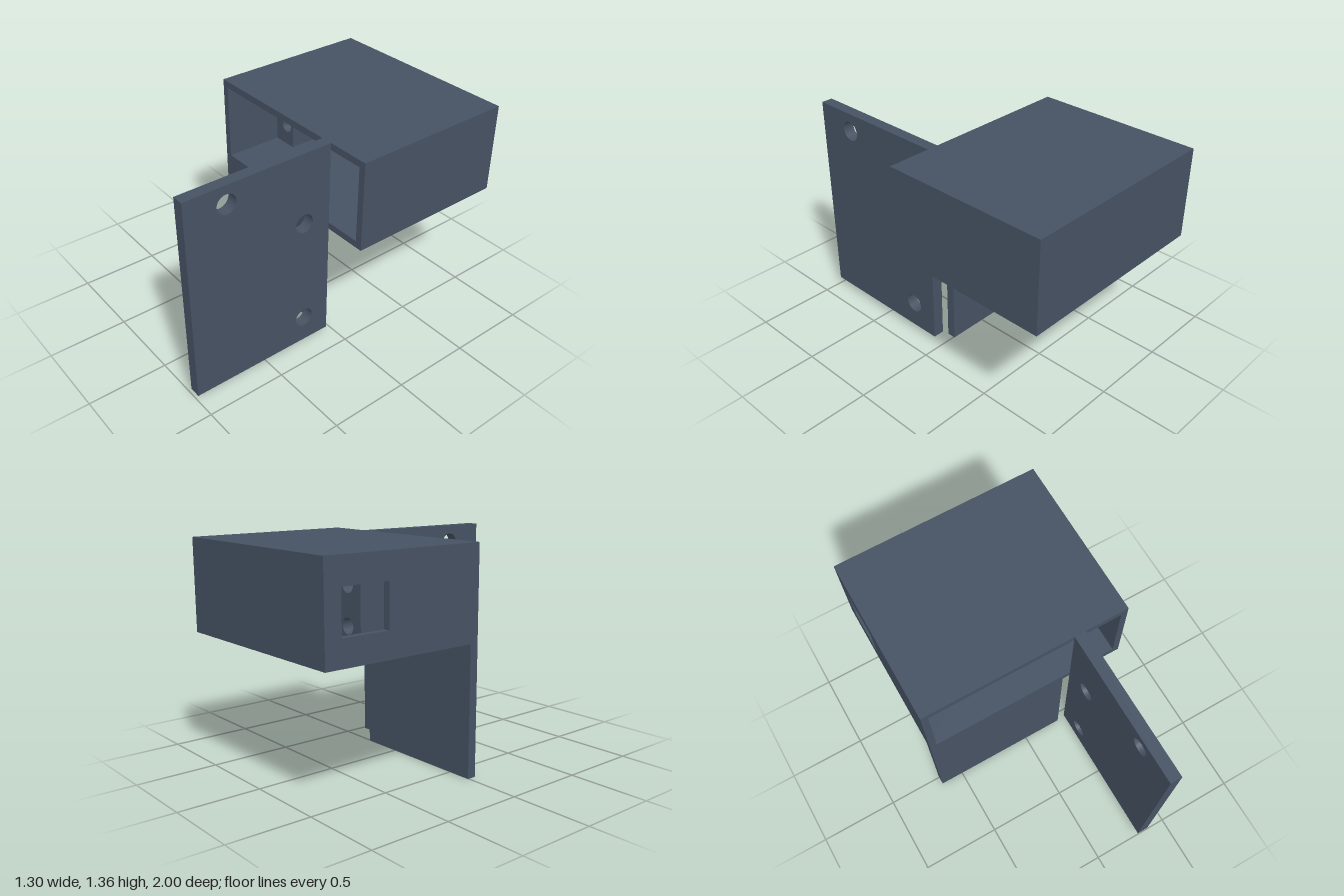
import * as THREE from 'three';

export function createModel() {
  const model = new THREE.Group();
  model.name = 'mountingBracket';
  const slate = new THREE.MeshStandardMaterial({ color: 0x465263 });
  slate.name = 'slate';

  const add = (name, geometry) => {
    const mesh = new THREE.Mesh(geometry, slate);
    mesh.name = name;
    model.add(mesh);
    return mesh;
  };

  // Box given by its limits on each axis
  const block = (name, [x0, x1], [y0, y1], [z0, z1]) => {
    const g = new THREE.BoxGeometry(x1 - x0, y1 - y0, z1 - z0);
    g.translate((x0 + x1) / 2, (y0 + y1) / 2, (z0 + z1) / 2);
    return add(name, g);
  };

  const rect = (Type, [u0, u1], [v0, v1]) => new Type([
    [u0, v0], [u1, v0], [u1, v1], [u0, v1],
  ].map(([u, v]) => new THREE.Vector2(u, v)));

  const circle = (u, v, r) => new THREE.Path().absarc(u, v, r, 0, Math.PI * 2, true);

  const extrude = (shape, depth) => new THREE.ExtrudeGeometry(shape, {
    depth, bevelEnabled: false, curveSegments: 24,
  });

  // Plate lying in the z-y plane, thick along x (shape u axis is -z)
  const sidePlate = (name, [x0, x1], [y0, y1], [z0, z1], holes) => {
    const shape = rect(THREE.Shape, [-z1, -z0], [y0, y1]);
    shape.holes.push(...holes);
    const g = extrude(shape, x1 - x0);
    g.rotateY(Math.PI / 2);
    g.translate(x0, 0, 0);
    return add(name, g);
  };

  // Housing shell, open at the front
  const inY = [0.837, 1.317];
  const depth = [-1, 0.05];
  block('housingTop', [-0.65, 0.65], [inY[1], 1.36], depth);
  block('housingFloor', [-0.65, 0.65], [0.795, inY[0]], depth);
  block('housingBack', [-0.607, 0.607], inY, [-1, -0.957]);
  block('housingLeftWall', [0.607, 0.65], inY, depth);
  sidePlate('housingRightWall', [-0.65, -0.607], inY, depth,
    [rect(THREE.Path, [0.595, 0.896], [0.95, 1.205])]);

  // Screw posts inside the housing
  for (const side of [-1, 1]) {
    const shape = rect(THREE.Shape, [-0.084, 0.084], inY);
    for (const y of [0.97, 1.185]) shape.holes.push(circle(-side * 0.021, y, 0.044));
    const g = extrude(shape, 0.416);
    g.translate(side * 0.523, 0, -0.746);
    add(side < 0 ? 'rightScrewPost' : 'leftScrewPost', g);
  }

  // Panel hanging under the housing
  block('lowerPanel', [-0.65, 0.255], [0, 0.795], [-0.005, 0.05]);

  // Upright mounting plate with four holes
  const mountHoles = [[0.74, 1.245], [0.23, 0.905], [0.94, 0.56], [0.23, 0.217]];
  sidePlate('mountingPlate', [0.302, 0.374], [0.045, 1.36], [0.05, 1],
    mountHoles.map(([z, y]) => circle(-z, y, 0.061)));

  return model;
}
